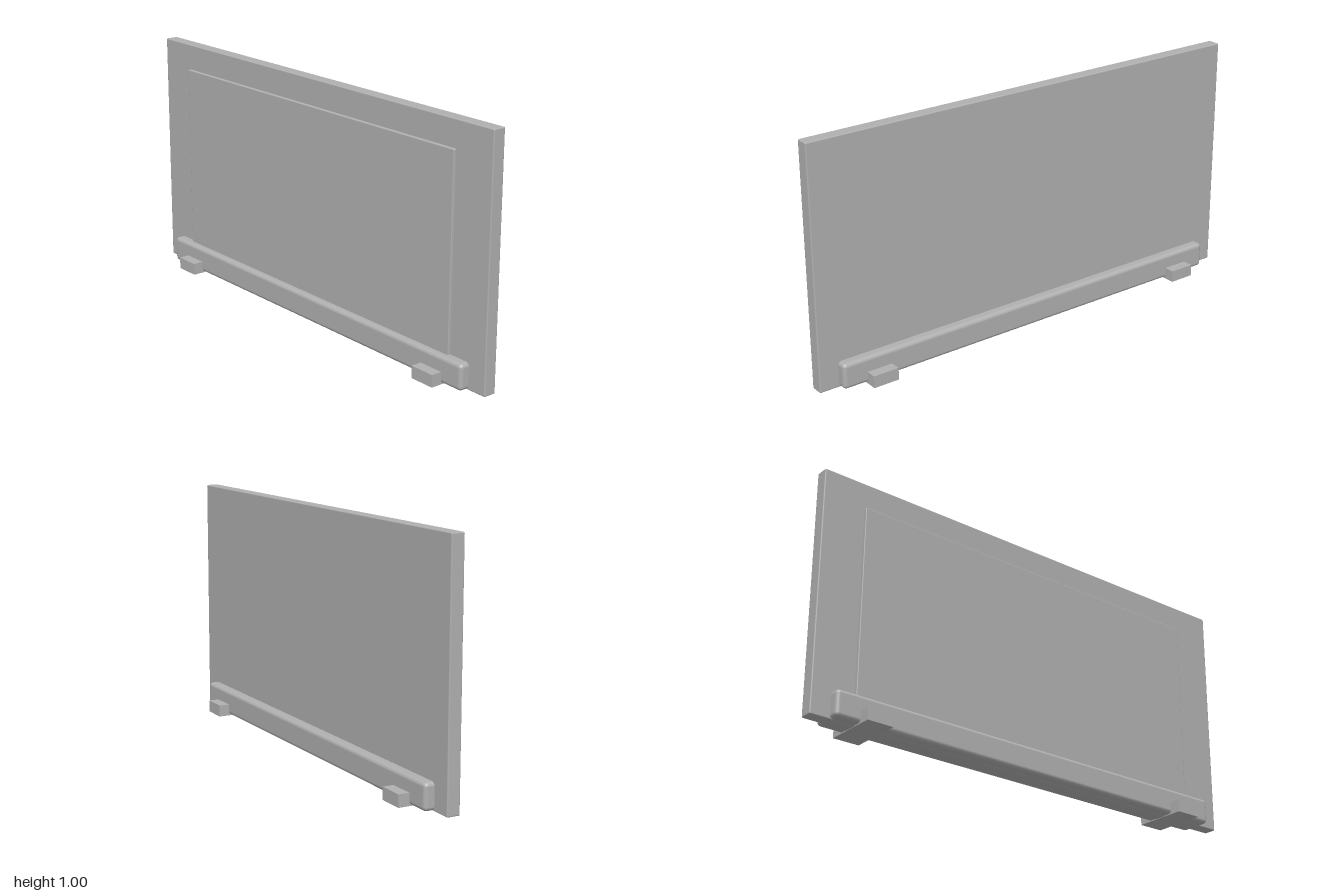
import * as THREE from 'three';
import { RoundedBoxGeometry } from 'three/addons/geometries/RoundedBoxGeometry.js';

export function createModel() {
  const group = new THREE.Group();
  group.name = 'standingPanel';
  const grey = new THREE.MeshStandardMaterial({ color: 0xb0b0b0 });
  grey.name = 'light grey';

  // Box given by its lower and upper corners, with optional rounded edges
  function addBox(name, [x0, y0, z0], [x1, y1, z1], radius = 0, segments = 2) {
    const size = [x1 - x0, y1 - y0, z1 - z0];
    const geometry = radius
      ? new RoundedBoxGeometry(...size, segments, radius)
      : new THREE.BoxGeometry(...size);
    const mesh = new THREE.Mesh(geometry, grey);
    mesh.name = name;
    mesh.position.set((x0 + x1) / 2, (y0 + y1) / 2, (z0 + z1) / 2);
    group.add(mesh);
  }

  // Upright board with finely softened edges
  addBox('board', [-1, 0.002, -0.027], [1, 1, 0.027], 0.005);

  // Raised display area on the front
  addBox('displayPlate', [-0.82, 0.1, 0.015], [0.82, 0.892, 0.039], 0.004);

  // Rounded bar clamping the bottom edge on both sides
  addBox('baseBar', [-0.917, 0.004, -0.067], [0.917, 0.11, 0.067], 0.016, 4);

  // Square feet crossing under the bar
  for (const [name, x] of [['leftFoot', 0.76], ['rightFoot', -0.76]]) {
    addBox(name, [x - 0.055, 0, -0.112], [x + 0.055, 0.05, 0.112]);
  }

  return group;
}
